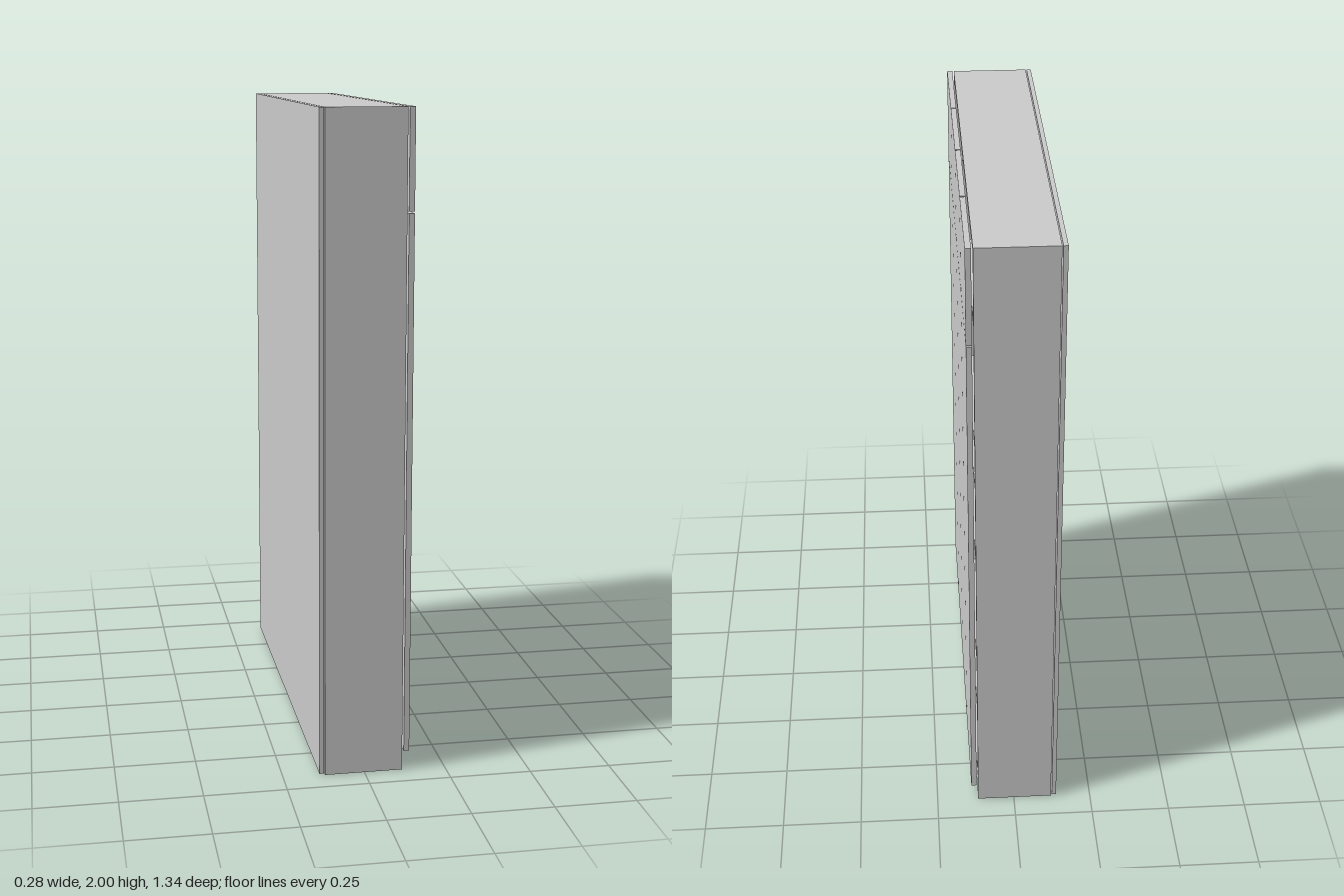
import * as THREE from 'three';

const material = new THREE.MeshStandardMaterial({ color: 0xcccccc });

// Box given by its minimum and maximum along each axis
function panel(parent, name, [x0, x1], [y0, y1], [z0, z1]) {
  const mesh = new THREE.Mesh(new THREE.BoxGeometry(x1 - x0, y1 - y0, z1 - z0), material);
  mesh.name = name;
  mesh.position.set((x0 + x1) / 2, (y0 + y1) / 2, (z0 + z1) / 2);
  parent.add(mesh);
  return mesh;
}

export function createModel() {
  const wardrobe = new THREE.Group();
  wardrobe.name = 'wardrobe';

  const half = 0.668;      // half of the overall width, along z
  const board = 0.018;     // board thickness
  const inner = half - board;
  const depth = [-0.122, 0.117];
  const plinthTop = 0.068;

  // Plinth and back panel
  panel(wardrobe, 'plinth', depth, [0, plinthTop], [-half, half]);
  panel(wardrobe, 'backPanel', [-0.139, -0.125], [0.005, 2], [-half, half]);

  // Carcass: end panels, top, floor and central divider
  const carcass = new THREE.Group();
  carcass.name = 'carcass';
  wardrobe.add(carcass);
  panel(carcass, 'leftEndPanel', depth, [plinthTop, 2], [inner, half]);
  panel(carcass, 'rightEndPanel', depth, [plinthTop, 2], [-half, -inner]);
  panel(carcass, 'topPanel', depth, [2 - board, 2], [-inner, inner]);
  panel(carcass, 'floorPanel', depth, [plinthTop, plinthTop + board], [-inner, inner]);
  panel(carcass, 'divider', depth, [plinthTop + board, 2 - board], [-board / 2, board / 2]);

  // Shelves on both sides of the divider
  for (const y of [0.27, 0.47, 0.87, 1.13, 1.28, 1.69]) {
    for (const [z0, z1] of [[-inner, -board / 2], [board / 2, inner]]) {
      panel(carcass, 'shelf', [-0.122, 0.112], [y, y + board], [z0, z1]);
    }
  }

  // Four tall doors with four short doors above
  const doors = new THREE.Group();
  doors.name = 'doors';
  wardrobe.add(doors);
  const gap = 0.005, pitch = (2 * half + gap) / 4;
  for (let i = 0; i < 4; i++) {
    const z0 = -half + i * pitch;
    const z = [z0, z0 + pitch - gap];
    panel(doors, 'lowerDoor', [0.122, 0.139], [0.06, 1.699], z);
    panel(doors, 'upperDoor', [0.122, 0.139], [1.704, 2], z);
  }

  return wardrobe;
}
